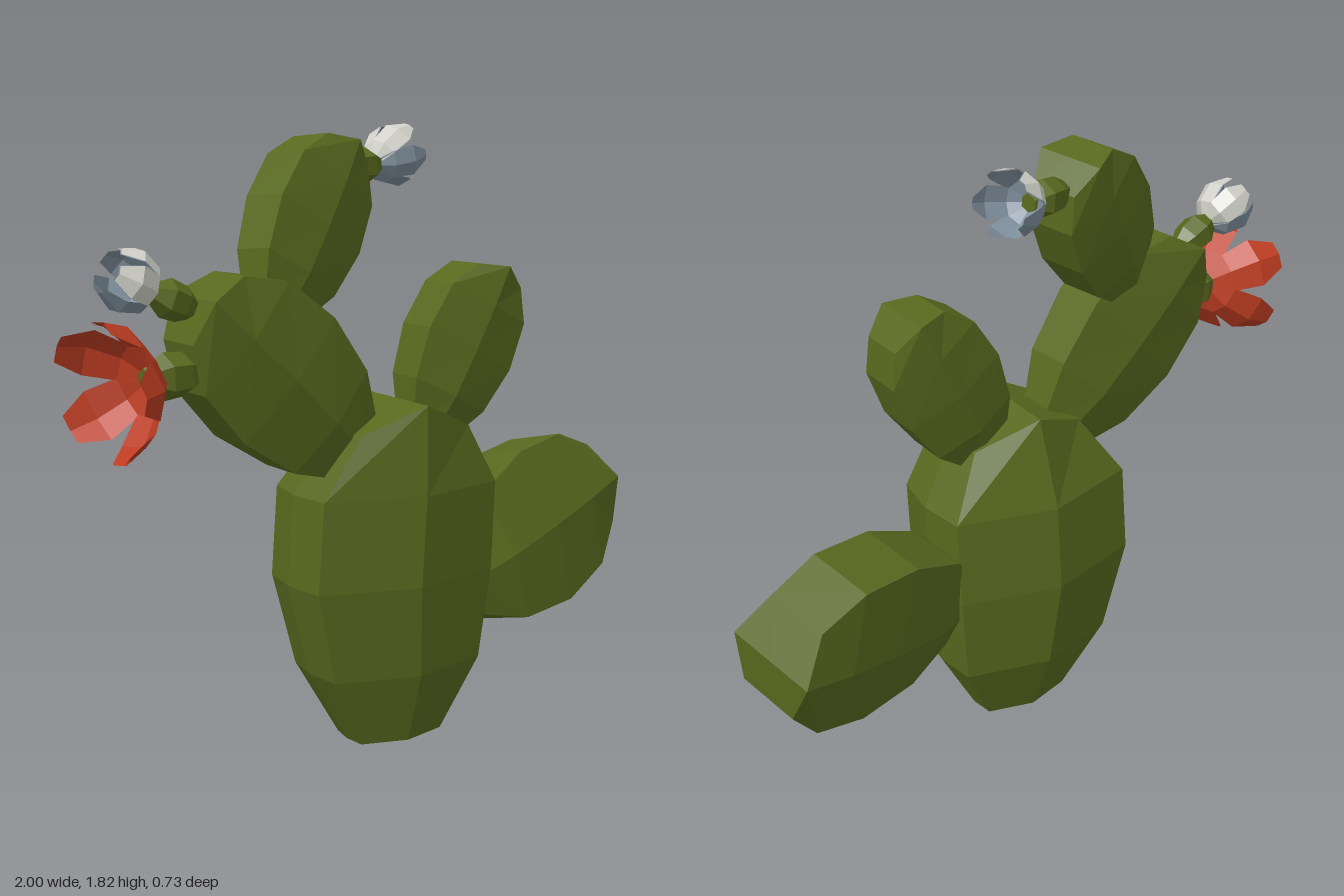
import * as THREE from 'three';

function flat(name, color, side = THREE.FrontSide) {
  const material = new THREE.MeshStandardMaterial({ color, side });
  material.name = name;
  return material;
}
const green = flat('cactusGreen', 0x58681e);
const white = flat('petalWhite', 0xd0d0c8, THREE.DoubleSide);
const slate = flat('petalBlueGrey', 0x7f8f9c, THREE.DoubleSide);
const red = flat('petalRed', 0xbb3c21, THREE.DoubleSide);

// Faceted geometry: unshared corners give flat normals
function faceted(points, index) {
  const indexed = new THREE.BufferGeometry();
  indexed.setAttribute('position', new THREE.Float32BufferAttribute(points, 3));
  indexed.setIndex(index);
  const g = indexed.toNonIndexed();
  g.computeVertexNormals();
  return g;
}

// Closed loft along y. Ring: [y, halfWidth, halfDepth, ridge lift, x offset, z offset]
function loft(section, rings) {
  const n = section.length, pts = [], idx = [];
  for (const [y, w, d, lift = 0, ox = 0, oz = 0] of rings)
    for (const [sx, sz] of section) pts.push(ox + sx * w, y + (sx === 0 ? lift : 0), oz + sz * d);
  const last = rings.length - 1;
  for (const k of [0, last]) {
    const [y, , , lift = 0, ox = 0, oz = 0] = rings[k];
    pts.push(ox, y + lift, oz);
  }
  const bottom = n * rings.length, top = bottom + 1;
  for (let j = 0; j < n; j++) {
    const k = (j + 1) % n;
    for (let i = 0; i < last; i++) {
      const a = i * n + j, b = i * n + k;
      idx.push(a, a + n, b, b, a + n, b + n);
    }
    idx.push(bottom, j, k, top, last * n + k, last * n + j);
  }
  return faceted(pts, idx);
}

// Stand an object on base, with its y axis along dir and its z axis near facing
function orient(obj, base, dir, facing) {
  const y = new THREE.Vector3(...dir).normalize();
  const x = new THREE.Vector3().crossVectors(y, new THREE.Vector3(...facing)).normalize();
  const z = new THREE.Vector3().crossVectors(x, y);
  obj.quaternion.setFromRotationMatrix(new THREE.Matrix4().makeBasis(x, y, z));
  obj.position.set(...base);
  return obj;
}

function named(name, geometry, material) {
  const mesh = new THREE.Mesh(geometry, material);
  mesh.name = name;
  return mesh;
}

const PAD_SECTION = [[1, -0.68], [1, 0.68], [0, 1], [-1, 0.68], [-1, -0.68], [0, -1]];
const TRUNK_SECTION = [[1, 0], [0.93, 0.64], [0, 1], [-0.93, 0.64], [-1, 0], [-0.93, -0.64], [0, -1], [0.93, -0.64]];
const BUD_SECTION = [0, 1, 2, 3, 4, 5].map((i) => [Math.cos(i * Math.PI / 3), Math.sin(i * Math.PI / 3)]);
// Fractions of length, width and depth
const PAD_PROFILE = [[0, 0.45, 0.6], [0.22, 0.83, 0.88], [0.5, 1, 0.98], [0.77, 0.9, 1], [0.94, 0.54, 0.95]];

function pad(name, base, tip, facing, width, depth) {
  const dir = tip.map((v, i) => v - base[i]);
  const len = Math.hypot(...dir);
  const rings = PAD_PROFILE.map(([t, w, d], i) => [t * len, w * width, d * depth, i === 4 ? 0.06 * len : 0]);
  return orient(named(name, loft(PAD_SECTION, rings), green), base, dir, facing);
}

// Petal row: [radius, height, halfWidth]
const CUP_PETAL = [[0.012, 0, 0.016], [0.052, 0.033, 0.04], [0.08, 0.095, 0.045], [0.084, 0.152, 0.016]];
const CLOSED_PETAL = [[0.012, 0, 0.016], [0.055, 0.03, 0.042], [0.076, 0.09, 0.046], [0.06, 0.145, 0.02]];
const OPEN_PETAL = [[0.015, 0, 0.022], [0.08, 0.03, 0.06], [0.145, 0.095, 0.076], [0.183, 0.165, 0.042]];

// One skin of a petal, set inward by inset; the inner skin faces the flower's axis
function petalSkin(rows, inset, inner) {
  const pts = [], idx = [];
  rows.forEach(([radius, height, w], i) => {
    const r = radius - inset, h = height + inset;
    pts.push(-w, h, r, 0, h - w * 0.15, r + w * 0.3, w, h, r);
    if (i) for (let j = 0; j < 2; j++) {
      const a = (i - 1) * 3 + j;
      idx.push(a, a + 1, a + 3, a + 1, a + 4, a + 3);
    }
  });
  return faceted(pts, inner ? idx.reverse() : idx);
}

// Green bud topped by a ring of petals, one outer material per petal
function blossom(name, base, tip, budRadius, flowerDir, facing, rows, outerMaterials, inner) {
  const group = new THREE.Group();
  group.name = name;
  const dir = tip.map((v, i) => v - base[i]);
  const len = Math.hypot(...dir);
  const rings = [[0, 0.5], [0.3, 0.92], [0.65, 1], [1, 0.45]].map(([t, r]) => [t * len, r * budRadius, r * budRadius]);
  group.add(orient(named('bud', loft(BUD_SECTION, rings), green), base, dir, facing));
  const flower = new THREE.Group();
  flower.name = 'flower';
  const outerSkin = petalSkin(rows, 0, false), innerSkin = petalSkin(rows, 0.003, true);
  outerMaterials.forEach((outer, i) => {
    const petal = new THREE.Group();
    petal.name = 'petal';
    petal.add(named('petalOutside', outerSkin, outer), named('petalInside', innerSkin, inner));
    petal.rotation.y = i * Math.PI * 2 / outerMaterials.length;
    flower.add(petal);
  });
  const at = tip.map((v, i) => v - dir[i] * 0.1);
  group.add(orient(flower, at, flowerDir, facing));
  return group;
}

export function createModel() {
  const model = new THREE.Group();
  model.name = 'cactus';

  // Main trunk
  model.add(named('trunk', loft(TRUNK_SECTION, [
    [0, 0.15, 0.11, 0, 0.02, 0.01],
    [0.22, 0.27, 0.19, 0, 0.02, 0],
    [0.5, 0.32, 0.222, 0, 0, 0.003],
    [0.77, 0.315, 0.222, 0, 0.01, 0.013],
    [0.95, 0.195, 0.175, 0.08, 0.02, 0.045],
  ]), green));

  // Side pads
  model.add(
    pad('lowerLeftPad', [0.25, 0.435, 0.015], [0.95, 0.63, -0.23], [0.36, 0.25, 0.93], 0.26, 0.15),
    pad('upperLeftPad', [0.14, 0.92, 0.01], [0.385, 1.4, 0], [0.03, 0, 1], 0.165, 0.105),
    pad('rightPad', [-0.13, 0.89, 0.03], [-0.64, 1.36, 0.09], [0.08, 0, 1], 0.22, 0.12),
    pad('topPad', [-0.38, 1.305, 0.04], [-0.115, 1.765, -0.07], [0.28, 0.08, 0.95], 0.17, 0.108),
  );

  // Flowers
  model.add(
    blossom('topBlossom', [-0.07, 1.69, -0.1], [0.075, 1.7, -0.15], 0.055,
      [0.85, 0.25, -0.35], [0, 0.87, 0.5], CUP_PETAL, [white, slate, slate, slate, white], slate),
    blossom('upperBlossom', [-0.64, 1.33, 0.09], [-0.775, 1.385, 0.11], 0.055,
      [-0.85, 0.42, 0.05], [0, 0, 1], CLOSED_PETAL, [white, white, white, slate, slate], slate),
    blossom('lowerBlossom', [-0.64, 1.165, 0.11], [-0.81, 1.16, 0.14], 0.065,
      [-0.92, -0.12, 0.25], [0, 0, 1], OPEN_PETAL, [red, red, red, red, red], red),
  );
  return model;
}
